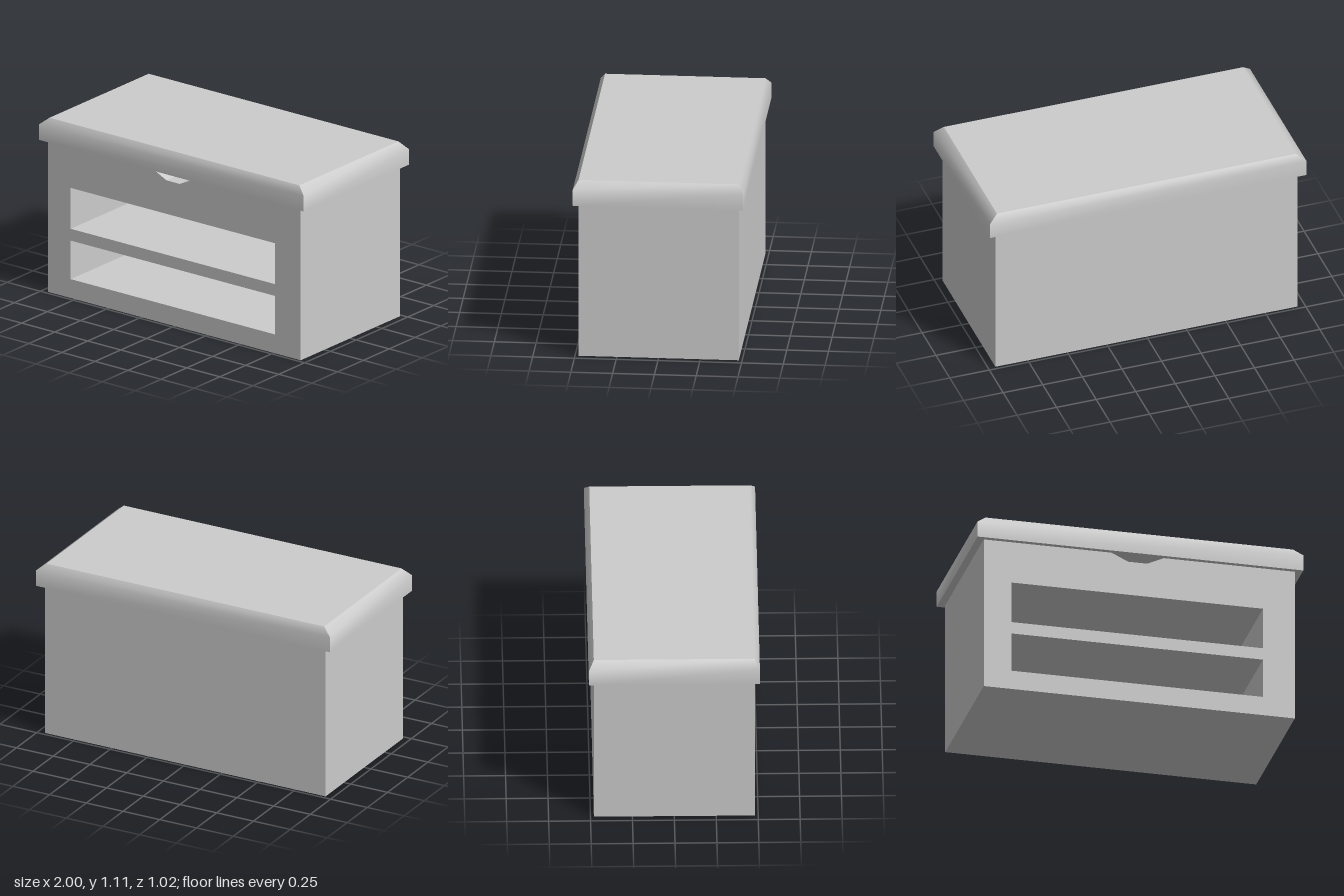
import * as THREE from 'three';

const W = 0.955, D = 0.48, H = 0.965; // body half width, half depth, height
const material = new THREE.MeshStandardMaterial({ color: 0xcccccc });

function addMesh(parent, name, geometry) {
  const mesh = new THREE.Mesh(geometry, material);
  mesh.name = name;
  parent.add(mesh);
  return mesh;
}

function polygon(Type, points) {
  return new Type(points.map(([x, y]) => new THREE.Vector2(x, y)));
}

// Slice of the body between two depths, with the two shelf openings cut out
function bodySlice(outline, z0, z1, open) {
  const shape = polygon(THREE.Shape, outline);
  if (open) {
    for (const [y0, y1] of [[0.12, 0.365], [0.44, 0.7]]) {
      shape.holes.push(polygon(THREE.Path, [[-0.785, y0], [-0.785, y1], [0.76, y1], [0.76, y0]]));
    }
  }
  return new THREE.ExtrudeGeometry(shape, { depth: z1 - z0, bevelEnabled: false }).translate(0, 0, z0);
}

// One lid side: an upright face running smoothly into the sloped bevel.
// "half" is half the length of the side, "out" its distance from the centre.
function lidSide(half, out, inset) {
  const rows = [[half, 0.965, out], [half, 1.065, out], [half - inset.along, 1.11, out - inset.across]];
  const positions = [], index = [];
  rows.forEach(([x, y, z], i) => {
    positions.push(-x, y, z, x, y, z);
    const a = i * 2;
    if (i < 2) index.push(a, a + 1, a + 3, a, a + 3, a + 2);
  });
  const geometry = new THREE.BufferGeometry();
  geometry.setAttribute('position', new THREE.Float32BufferAttribute(positions, 3));
  geometry.setIndex(index);
  geometry.computeVertexNormals();
  return geometry;
}

export function createModel() {
  const model = new THREE.Group();
  model.name = 'cabinet';

  // Body: notched front wall, hollow core and closed back
  const body = new THREE.Group();
  body.name = 'body';
  model.add(body);
  const plain = [[-W, 0], [W, 0], [W, H], [-W, H]];
  const notched = [[-W, 0], [W, 0], [W, H], [0.15, H], [0.04, 0.913], [-0.06, 0.913], [-0.17, H], [-W, H]];
  const frontBack = D - 0.1, shelfBack = -D + 0.06;
  addMesh(body, 'frontWall', bodySlice(notched, frontBack, D, true));
  addMesh(body, 'shelfCore', bodySlice(plain, shelfBack, frontBack, true));
  addMesh(body, 'backWall', bodySlice(plain, -D, shelfBack, false));

  // Lid: four bevelled sides, flat top and underside
  const lid = new THREE.Group();
  lid.name = 'lid';
  model.add(lid);
  const insetX = 0.055, insetZ = 0.03;
  for (let i = 0; i < 4; i++) {
    const long = i % 2 === 0;
    const geometry = long
      ? lidSide(1, 0.51, { along: insetX, across: insetZ })
      : lidSide(0.51, 1, { along: insetZ, across: insetX });
    addMesh(lid, ['lidFront', 'lidLeft', 'lidBack', 'lidRight'][i], geometry).rotation.y = i * Math.PI / 2;
  }
  const top = addMesh(lid, 'lidTop', new THREE.PlaneGeometry(2 * (1 - insetX), 2 * (0.51 - insetZ)));
  top.rotation.x = -Math.PI / 2;
  top.position.y = 1.11;
  const underside = addMesh(lid, 'lidUnderside', new THREE.PlaneGeometry(2, 1.02));
  underside.rotation.x = Math.PI / 2;
  underside.position.y = 0.965;

  return model;
}
